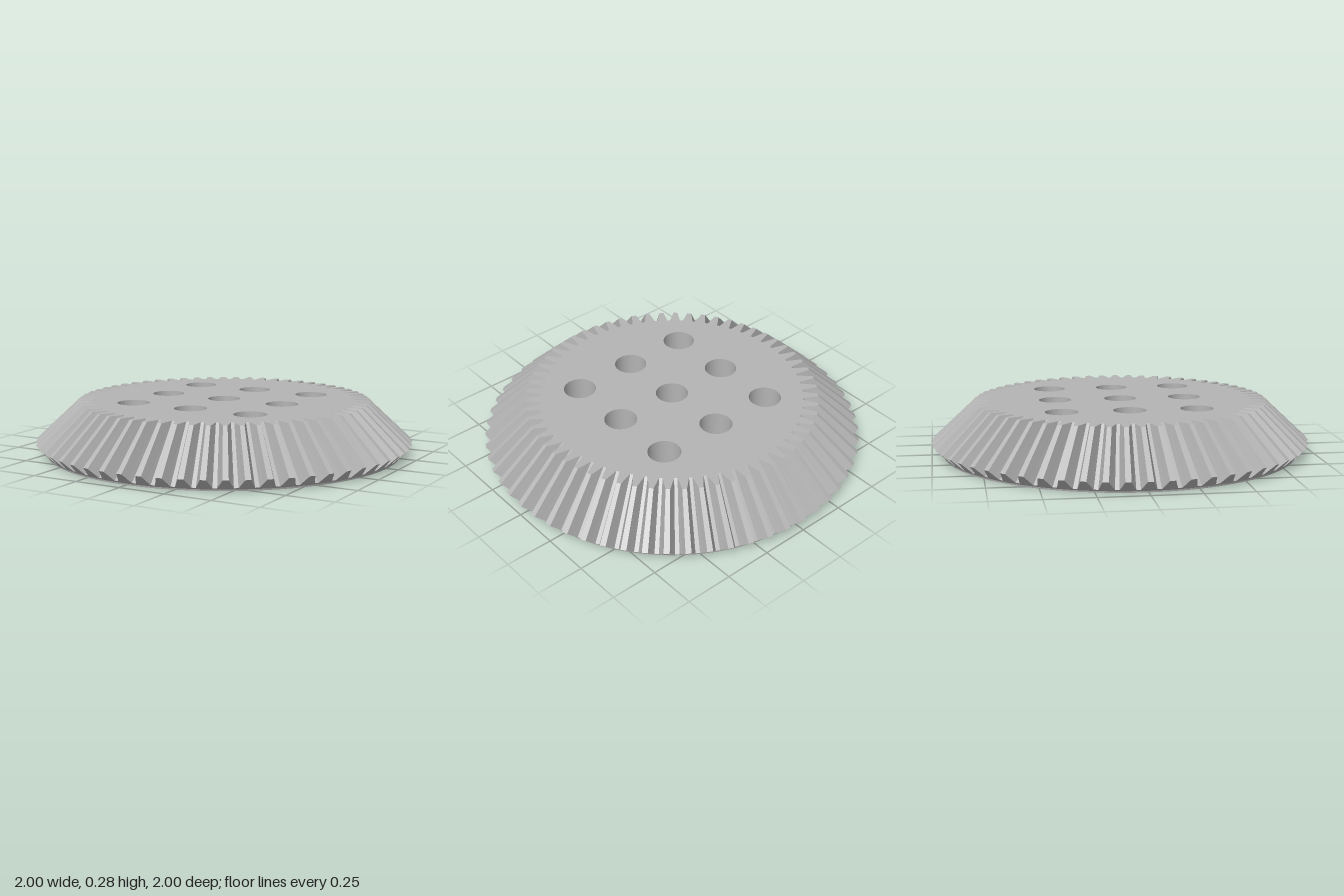
import * as THREE from 'three';

const TEETH = 60, HEIGHT = 0.278, HOLE_R = 0.085, HOLE_STEP = 0.347;
// one tooth: [fraction of the pitch, height from root (0) to tip (1)]
const TOOTH = [[-0.39, 0], [-0.27, 0.45], [-0.14, 1], [0.14, 1], [0.27, 0.45], [0.39, 0]];

// closed toothed ring between a root and a tip, each given as [radius, y]
function gearRing(root, tip) {
  const ring = [];
  for (let i = 0; i < TEETH; i++) {
    for (const [t, h] of TOOTH) {
      const a = (i + t) / TEETH * Math.PI * 2;
      const r = THREE.MathUtils.lerp(root[0], tip[0], h);
      ring.push([r * Math.cos(a), THREE.MathUtils.lerp(root[1], tip[1], h), -r * Math.sin(a)]);
    }
  }
  return ring;
}

// faceted skin between successive rings, from bottom to top
function loft(rings) {
  const pos = [];
  for (let k = 0; k < rings.length - 1; k++) {
    const lo = rings[k], hi = rings[k + 1], n = lo.length;
    for (let i = 0; i < n; i++) {
      const j = (i + 1) % n;
      pos.push(...lo[i], ...lo[j], ...hi[j], ...lo[i], ...hi[j], ...hi[i]);
    }
  }
  const geo = new THREE.BufferGeometry();
  geo.setAttribute('position', new THREE.Float32BufferAttribute(pos, 3));
  geo.computeVertexNormals();
  return geo;
}

// flat face bounded by a ring, pierced by the holes
function pierced(ring, centres) {
  const shape = new THREE.Shape(ring.map(p => new THREE.Vector2(p[0], -p[2])));
  for (const [x, z] of centres) {
    shape.holes.push(new THREE.Path().absarc(x, z, HOLE_R, 0, Math.PI * 2, true));
  }
  return new THREE.ShapeGeometry(shape, 24);
}

export function createModel() {
  const group = new THREE.Group();
  group.name = 'bevelGear';
  const steel = new THREE.MeshStandardMaterial({ color: 0xb4b4b4 });
  steel.name = 'steelGrey';
  const add = (name, geo) => {
    const mesh = new THREE.Mesh(geo, steel);
    mesh.name = name;
    group.add(mesh);
    return mesh;
  };

  const centres = [];
  for (const x of [-1, 0, 1]) for (const z of [-1, 0, 1]) centres.push([x * HOLE_STEP, z * HOLE_STEP]);

  // rim, back cone and tapering teeth
  const base = gearRing([0.94, 0], [0.94, 0]);
  const lip = gearRing([0.942, 0.008], [0.942, 0.008]);
  const heel = gearRing([0.95, 0.016], [1, 0.065]);
  const toe = gearRing([0.692, HEIGHT], [0.773, HEIGHT]);
  add('teeth', loft([base, lip, heel, toe]));

  // flat faces
  add('topFace', pierced(toe, centres).rotateX(-Math.PI / 2)).position.y = HEIGHT;
  add('bottomFace', pierced(base, centres).rotateX(Math.PI / 2));

  // hole walls, facing inward
  const wall = new THREE.LatheGeometry(
    [new THREE.Vector2(HOLE_R, HEIGHT), new THREE.Vector2(HOLE_R, 0)], 48);
  for (const [x, z] of centres) add('holeWall', wall).position.set(x, 0, z);

  return group;
}
